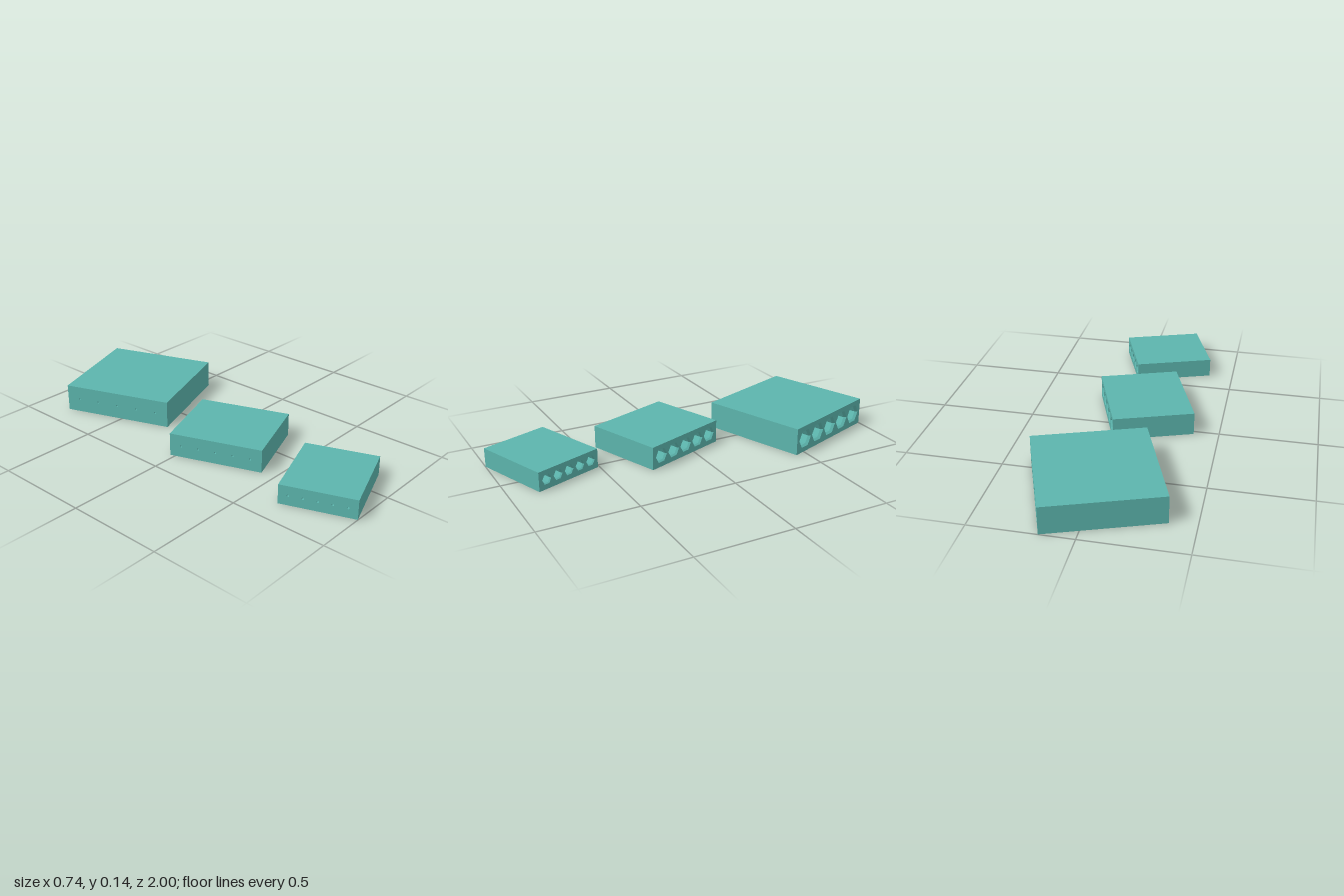
import * as THREE from 'three';

const TURN = THREE.MathUtils.degToRad(20);
const SOCKETS = 5;
const VENT_R = 0.006;

// width runs along the sockets, depth across them; pitch and mouth size the hex row
const BLOCKS = [
  { name: 'smallBlock', x: -0.11, z: 0.754, w: 0.418, h: 0.1, d: 0.37, pitch: 0.069, mouth: 0.028 },
  { name: 'mediumBlock', x: -0.093, z: 0.129, w: 0.418, h: 0.12, d: 0.48, pitch: 0.09, mouth: 0.04 },
  { name: 'largeBlock', x: 0, z: -0.623, w: 0.573, h: 0.142, d: 0.592, pitch: 0.113, mouth: 0.052 },
];

const skin = new THREE.MeshStandardMaterial({ color: 0x5cb5ad, flatShading: true });
const inner = new THREE.MeshStandardMaterial({ color: 0x5cb5ad, flatShading: true, side: THREE.DoubleSide });

function addMesh(parent, name, geometry, material) {
  const mesh = new THREE.Mesh(geometry, material);
  mesh.name = name;
  parent.add(mesh);
  return mesh;
}

// Flat end panel with a row of regular holes, facing +z
function panel(d, h, offsets, radius, sides) {
  const shape = new THREE.Shape();
  shape.moveTo(-d / 2, -h / 2);
  shape.lineTo(d / 2, -h / 2);
  shape.lineTo(d / 2, h / 2);
  shape.lineTo(-d / 2, h / 2);
  shape.closePath();
  for (const o of offsets) {
    const pts = [];
    for (let i = 0; i < sides; i++) {
      const a = (-i / sides) * Math.PI * 2;
      pts.push(new THREE.Vector2(o + radius * Math.cos(a), radius * Math.sin(a)));
    }
    shape.holes.push(new THREE.Path(pts));
  }
  return new THREE.ShapeGeometry(shape);
}

// Open tube along x from x0 (radius r0) to x1 (radius r1)
function bore(x0, r0, x1, r1, sides) {
  return new THREE.CylinderGeometry(r1, r0, x1 - x0, sides, 1, true)
    .rotateZ(-Math.PI / 2)
    .translate((x0 + x1) / 2, 0, 0);
}

function createBlock({ name, x, z, w, h, d, pitch, mouth }) {
  const block = new THREE.Group();
  block.name = name;
  const offsets = Array.from({ length: SOCKETS }, (_, i) => (i - (SOCKETS - 1) / 2) * pitch);

  // Top, bottom and long sides: a box without its two x ends
  const shell = new THREE.BoxGeometry(w, h, d);
  shell.setIndex(Array.from(shell.index.array).slice(12));
  shell.clearGroups();
  addMesh(block, 'outerWalls', shell, skin);

  // Pierced end faces
  addMesh(block, 'socketFace', panel(d, h, offsets, mouth, 6).rotateY(Math.PI / 2).translate(w / 2, 0, 0), skin);
  addMesh(block, 'ventFace', panel(d, h, offsets, VENT_R, 12).rotateY(-Math.PI / 2).translate(-w / 2, 0, 0), skin);

  // Hex sockets with chamfered mouths, each backed by a narrow vent
  const hexR = mouth * 0.82;
  const lip = w / 2 - mouth * 0.25;
  const floor = w / 2 - w * 0.8;
  for (const o of offsets) {
    const socket = new THREE.Group();
    socket.name = 'hexSocket';
    socket.position.z = o;
    addMesh(socket, 'socketChamfer', bore(lip, hexR, w / 2, mouth, 6), inner);
    addMesh(socket, 'socketWall', bore(floor, hexR, lip, hexR, 6), inner);
    addMesh(socket, 'socketFloor',
      panelRing(hexR).rotateY(Math.PI / 2).translate(floor, 0, 0), inner);
    addMesh(socket, 'ventHole', bore(-w / 2, VENT_R, floor, VENT_R, 12), inner);
    block.add(socket);
  }

  block.position.set(x, h / 2, z);
  block.rotation.y = TURN;
  return block;
}

// Hexagonal floor with the vent opening in the middle
function panelRing(radius) {
  return new THREE.RingGeometry(VENT_R, radius, 6);
}

export function createModel() {
  const model = new THREE.Group();
  model.name = 'hexSocketBlocks';
  for (const spec of BLOCKS) model.add(createBlock(spec));
  return model;
}
